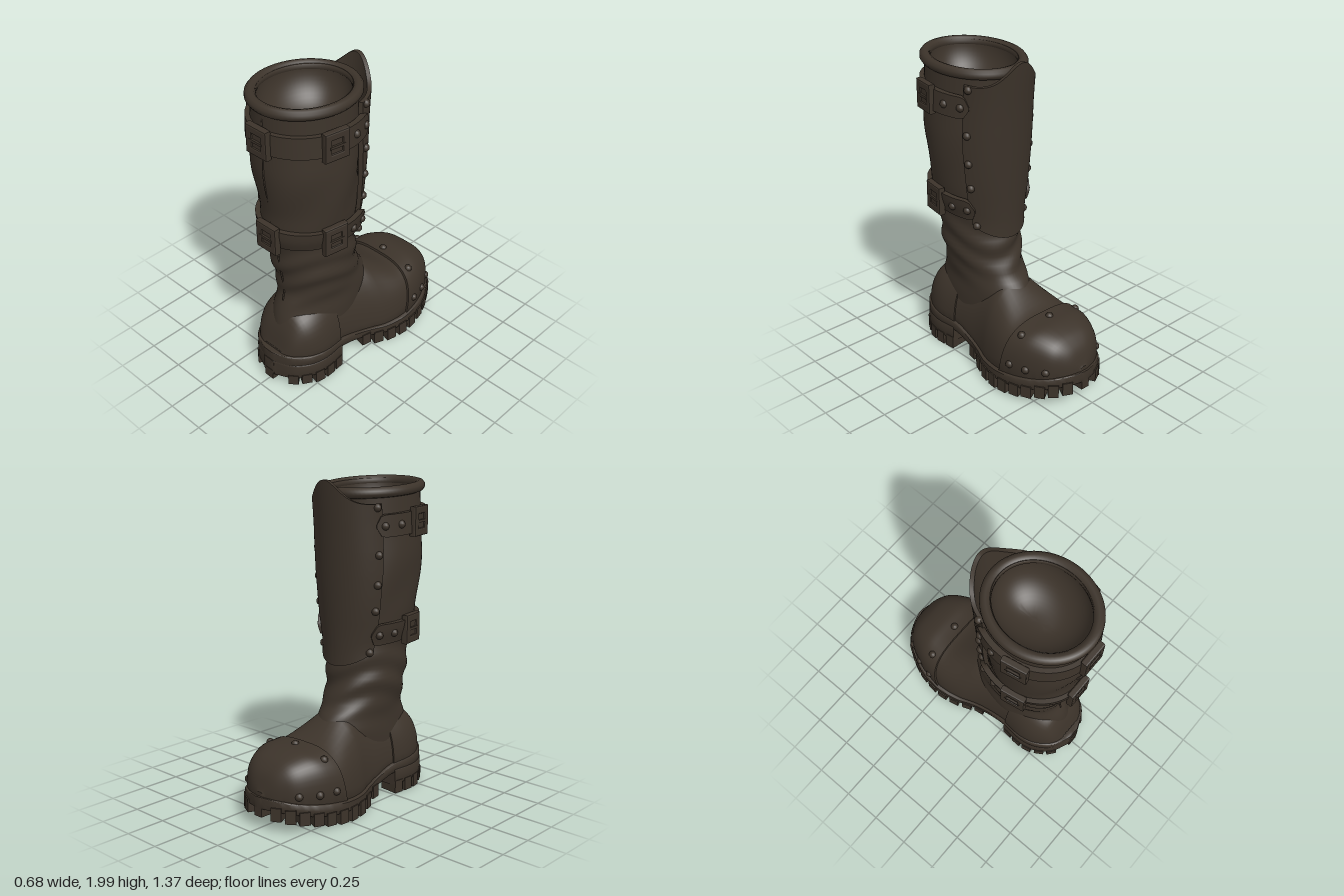
import * as THREE from 'three';
import { toCreasedNormals } from 'three/addons/utils/BufferGeometryUtils.js';

const leather = new THREE.MeshStandardMaterial({ color: 0x3c332a });
leather.name = 'darkBrownLeather';

// Smooth lookup in rows [key, ...values] sorted by rising key
function look(rows, k) {
  const n = rows.length - 1;
  k = Math.min(Math.max(k, rows[0][0]), rows[n][0]);
  let i = 0;
  while (i < n - 1 && k > rows[i + 1][0]) i++;
  const a = rows[i], b = rows[i + 1], h = b[0] - a[0], t = (k - a[0]) / h;
  const slope = (j, c) => {
    const p = rows[Math.max(j - 1, 0)], q = rows[Math.min(j + 1, n)];
    return (q[c] - p[c]) / (q[0] - p[0]);
  };
  return a.slice(1).map((v, c) => {
    c++;
    const t2 = t * t, t3 = t2 * t;
    return v * (2 * t3 - 3 * t2 + 1) + slope(i, c) * h * (t3 - 2 * t2 + t)
      + b[c] * (3 * t2 - 2 * t3) + slope(i + 1, c) * h * (t3 - t2);
  });
}

// Skin a list of closed rings
function loft(rings, caps = true) {
  const m = rings[0].length, pos = rings.flat().flatMap(p => [p.x, p.y, p.z]), idx = [];
  for (let i = 0; i < rings.length - 1; i++) for (let j = 0; j < m; j++) {
    const k = (j + 1) % m, a = i * m + j, b = i * m + k, c = a + m, d = b + m;
    idx.push(a, c, b, b, c, d);
  }
  if (caps) [0, rings.length - 1].forEach(r => {
    const mid = rings[r].reduce((s, p) => s.add(p), new THREE.Vector3()).divideScalar(m);
    const id = pos.length / 3;
    pos.push(mid.x, mid.y, mid.z);
    for (let j = 0; j < m; j++) {
      const p = r * m + j, q = r * m + (j + 1) % m;
      r ? idx.push(id, q, p) : idx.push(id, p, q);
    }
  });
  const g = new THREE.BufferGeometry();
  g.setAttribute('position', new THREE.Float32BufferAttribute(pos, 3));
  g.setIndex(idx);
  return toCreasedNormals(g, 0.7);
}

const V = (x, y, z) => new THREE.Vector3(x, y, z);
const steps = (n, f) => Array.from({ length: n + 1 }, (_, i) => f(i / n));
const spow = (v, p) => Math.sign(v) * Math.abs(v) ** p;

// Shaft: height, back z, front z, half width
const SHAFT = [[.3, .6, -.1, .2], [.45, .575, -.15, .2], [.55, .54, -.12, .195], [.62, .52, -.06, .205],
  [.75, .535, -.02, .222], [.85, .55, -.01, .225], [1, .565, 0, .225], [1.1, .595, 0, .253],
  [1.25, .6, 0, .272], [1.5, .635, 0, .292], [1.7, .63, 0, .283], [1.95, .625, -.01, .272]];
// Sole: z, half width, bottom, top
const SOLE = [[-.69, .02, .14, .21], [-.675, .08, .137, .208], [-.65, .135, .13, .204], [-.6, .205, .12, .195], [-.5, .272, .095, .175],
  [-.4, .312, .078, .162], [-.25, .333, .07, .148], [-.1, .308, .07, .14], [0, .272, .085, .15], [.1, .25, .11, .17],
  [.25, .24, .14, .21], [.4, .252, .15, .222], [.5, .235, .155, .23], [.58, .19, .16, .235], [.63, .135, .16, .237], [.67, .04, .16, .24]];
// Foot top line: z, height, squareness
const FOOT = [[-.67, .22, .7], [-.64, .31, .65], [-.6, .365, .6], [-.55, .403, .6], [-.45, .435, .6], [-.35, .44, .62], [-.28, .45, .68],
  [-.2, .49, .8], [-.1, .555, .95], [-.04, .59, 1], [.1, .58, 1], [.4, .53, .85], [.53, .48, .8], [.57, .42, .75], [.6, .35, .7], [.63, .24, .7]];

// Point on the shaft at angle phi from the toe side, pushed out by o
function onShaft(phi, y, o) {
  const [zb, zf, rx] = look(SHAFT, y);
  return V((rx + o) * Math.sin(phi), y, (zb + zf) / 2 - ((zb - zf) / 2 + o) * Math.cos(phi));
}

// Curved plate wrapped on the shaft
function shell(mid, half, bottom, top, off, th) {
  const N = 56, rows = [0, 0, .04, .12, .25, .4, .55, .7, .82, .92, 1, 1];
  return loft(rows.map((v, i) => {
    const t = i === 0 || i === rows.length - 1 ? 0 : th;
    const pt = (u, d) => {
      const y = bottom(u) + (top(u) - bottom(u)) * v;
      return onShaft(mid + u * half, y, off(u, y) - d);
    };
    return [...steps(N, s => pt(2 * s - 1, t ? 0 : th / 2)), ...steps(N, s => pt(1 - 2 * s, t ? t : th / 2))];
  }), false);
}

function footPoint(z, a, grow) {
  const base = look(SOLE, z)[2] - .02, [top, p] = look(FOOT, z), s = Math.sin(a);
  return V((look(SOLE, z * 1.03)[0] * .93 + grow) * spow(Math.cos(a), p),
    base + (s > 0 ? (top - base + grow) * s ** p : .03 * s), z);
}
const footRing = (z, grow = 0) => steps(47, t => footPoint(z, t * Math.PI * 2 * 47 / 48, grow));
// Spacing that tightens towards both ends
const ease = t => (1 - Math.cos(t * Math.PI)) / 2;

export function createModel() {
  const boot = new THREE.Group();
  boot.name = 'boot';
  const add = (geo, name, parent = boot) => {
    const m = new THREE.Mesh(geo, leather);
    m.name = name;
    parent.add(m);
    return m;
  };
  const studGeo = new THREE.SphereGeometry(.025, 12, 8);
  const stud = (p, name) => add(studGeo, name).position.copy(p);

  // Shaft with soft ankle folds, turning over the top into a hollow bowl
  const shaftRing = (y, o, drop = 0) => steps(63, t => {
    const phi = Math.PI / 2 + t * Math.PI * 2 * 63 / 64;
    const fold = drop ? 0 : .009 * Math.exp(-(((y - .78) / .22) ** 2)) * Math.sin(y * 38 + 2.5 * Math.sin(phi * 2 + .6))
      + .005 * Math.sin(phi * 5 + y * 9) * Math.exp(-(((y - 1.32) / .2) ** 2));
    const p = onShaft(phi, y, o + fold);
    p.y += -drop + (y > 1.9 ? .03 * (p.z - .3) : 0);
    return p;
  });
  add(loft([...steps(60, t => shaftRing(.3 + 1.63 * t, 0)), shaftRing(1.95, -.03, .001),
    ...steps(14, t => shaftRing(1.95, -.03 - .235 * (1 - Math.cos(t * 1.55)), .02 + .24 * Math.sin(t * 1.55)))]), 'shaft');

  // Padded collar
  const collar = steps(47, t => {
    const p = onShaft(t * Math.PI * 2 * 47 / 48, 1.93, -.003);
    p.y += .04 * (p.z - .3);
    return p;
  });
  add(new THREE.TubeGeometry(new THREE.CatmullRomCurve3(collar, true), 80, .033, 10, true), 'collar');

  // Back seam
  add(new THREE.TubeGeometry(new THREE.CatmullRomCurve3(steps(16, t => onShaft(Math.PI, .56 + 1.32 * t, -.002))), 40, .006, 6), 'backSeam');

  // Foot, toe cap and heel counter
  add(loft(steps(64, t => footRing(.63 - 1.3 * ease(t)))), 'foot');
  const capRings = [footRing(-.3, -.01), ...steps(26, t => footRing(-.3 - .372 * Math.sin(t * Math.PI / 2), .014))];
  const slant = p => { p.z += (.37 - p.y) * .18 * Math.max(0, 1 - (-.3 - p.z) / .25); return p; };
  capRings.flat().forEach(slant);
  add(loft(capRings), 'toeCap');
  add(loft([...steps(20, t => footRing(.27 + .362 * Math.sin((1 - t) * Math.PI / 2), .01)), footRing(.27, -.01)]), 'heelCounter');
  for (const a of [.12, .9, 1.57, 2.24, 3.02]) stud(slant(footPoint(-.36, a, .008)), 'toeCapRivet');
  for (const z of [-.45, -.56]) for (const a of [.1, Math.PI - .1]) stud(footPoint(z, a, .006), 'toeCapRivet');

  // Shin guard with raised tongue and riveted edges
  const guardOff = (u, y) => .03 + (y - .87) * .075 * (1 - u * u);
  add(shell(0, .95, u => .87 + .09 * u * u, u => 1.86 + .14 * Math.exp(-((u / .36) ** 2)), guardOff, .026), 'shinGuard');
  for (const y of [.96, 1.22, 1.38, 1.56, 1.84])
    for (const s of [-1, 1]) stud(onShaft(s * .86, y, guardOff(.9, y) - .003), 'shinGuardRivet');

  // Straps, each with three buckles and studs
  const frame = new THREE.Shape();
  frame.moveTo(-.07, -.08).lineTo(.07, -.08).lineTo(.07, .08).lineTo(-.07, .08).closePath();
  const hole = new THREE.Path();
  hole.moveTo(-.045, -.052).lineTo(-.045, .052).lineTo(.045, .052).lineTo(.045, -.052).closePath();
  frame.holes.push(hole);
  const frameGeo = new THREE.ExtrudeGeometry(frame, { depth: .025, bevelSize: .01, bevelThickness: .01, bevelSegments: 2 });
  for (const yc of [1.74, 1.08]) {
    const half = Math.PI - .83;
    const h = u => .066 * Math.sqrt(Math.max(.02, 1 - Math.max(0, (Math.abs(u) - .93) / .07) ** 2));
    const mid = u => yc + .015 * Math.cos(u * half);
    const off = u => .028 + .03 * u ** 4;
    add(shell(Math.PI, half, u => mid(u) - h(u), u => mid(u) + h(u), off, .035), 'strap');
    for (const phi of [Math.PI, Math.PI / 2 + .2, Math.PI * 1.5 - .2]) {
      const u = (phi - Math.PI) / half, p = onShaft(phi, mid(u), off(u) - .012);
      const q = onShaft(phi + .01, p.y, .03).sub(onShaft(phi - .01, p.y, .03));
      const buckle = new THREE.Group();
      buckle.name = 'buckle';
      buckle.position.copy(p);
      buckle.rotation.y = Math.atan2(q.z, -q.x);
      add(frameGeo, 'buckleFrame', buckle);
      add(new THREE.BoxGeometry(.1, .11, .04), 'buckleLeather', buckle).position.z = .005;
      add(new THREE.BoxGeometry(.1, .016, .018), 'buckleProng', buckle).position.z = .028;
      boot.add(buckle);
    }
    for (const phi of [.98, 1.3]) for (const s of [-1, 1]) {
      const u = (Math.PI - phi) / half;
      stud(onShaft(s * phi, mid(u), off(u) - .006), 'strapStud');
    }
  }

  // Sole plate and heel block
  const block = (z, w, b, t) => steps(31, s => {
    const a = s * Math.PI * 2 * 31 / 32;
    return V(w * spow(Math.cos(a), .2), (b + t) / 2 + (t - b) / 2 * spow(Math.sin(a), .2), z);
  });
  add(loft(steps(56, t => {
    const z = .67 - 1.36 * ease(t);
    return block(z, ...look(SOLE, z));
  })), 'sole');
  add(loft(steps(20, t => {
    const z = .268 + .405 * Math.sin((1 - t) * Math.PI / 2);
    return block(z, look(SOLE, z)[0] + .004, .06, .175);
  })), 'heelBlock');

  // Tread lugs along the outline: z, foot height, length
  const lug = (z, y0, y1, len, name) => {
    const w = look(SOLE, z)[0], d = (look(SOLE, z + .01)[0] - look(SOLE, z - .01)[0]) / .02;
    for (const s of [-1, 1]) {
      const a = Math.atan2(d, 1), m = add(new THREE.BoxGeometry(.13, y1 - y0, len), name);
      m.position.set(s * (w - .058 * Math.cos(a)), (y0 + y1) / 2, z + .058 * Math.sin(a));
      m.rotation.y = s * a;
    }
  };
  const ground = z => look([[-.69, .085], [-.4, .028], [-.15, .008], [0, .025], [.1, .07]], z)[0];
  for (const z of [.06, -.03, -.12, -.21, -.3, -.39, -.47, -.545, -.61, -.657])
    lug(z, ground(z), look(SOLE, z)[1] + .03, .064, 'treadLug');
  for (const z of [.302, .385, .468, .55, .615]) lug(z, z > .5 ? .02 : .008, .09, .064, 'heelLug');
  add(new THREE.BoxGeometry(.06, .07, .12), 'toeLug').position.set(0, .12, -.627);
  add(new THREE.BoxGeometry(.07, .07, .12), 'heelBackLug').position.set(0, .055, .615);
  add(new THREE.BoxGeometry(.12, .05, .2), 'heelCentreLug').position.set(0, .045, .42);

  // Round studs under the ball of the foot
  const treadGeo = new THREE.CylinderGeometry(.045, .036, .06, 6);
  for (let r = 0; r < 6; r++) for (let c = -1; c <= 1; c++) {
    const z = -.03 - r * .09, x = (c + (r % 2 ? .5 : 0)) * .11;
    if (Math.abs(x) < look(SOLE, z)[0] - .13) add(treadGeo, 'treadStud').position.set(x, look(SOLE, z)[1] - .01, z);
  }
  return boot;
}
